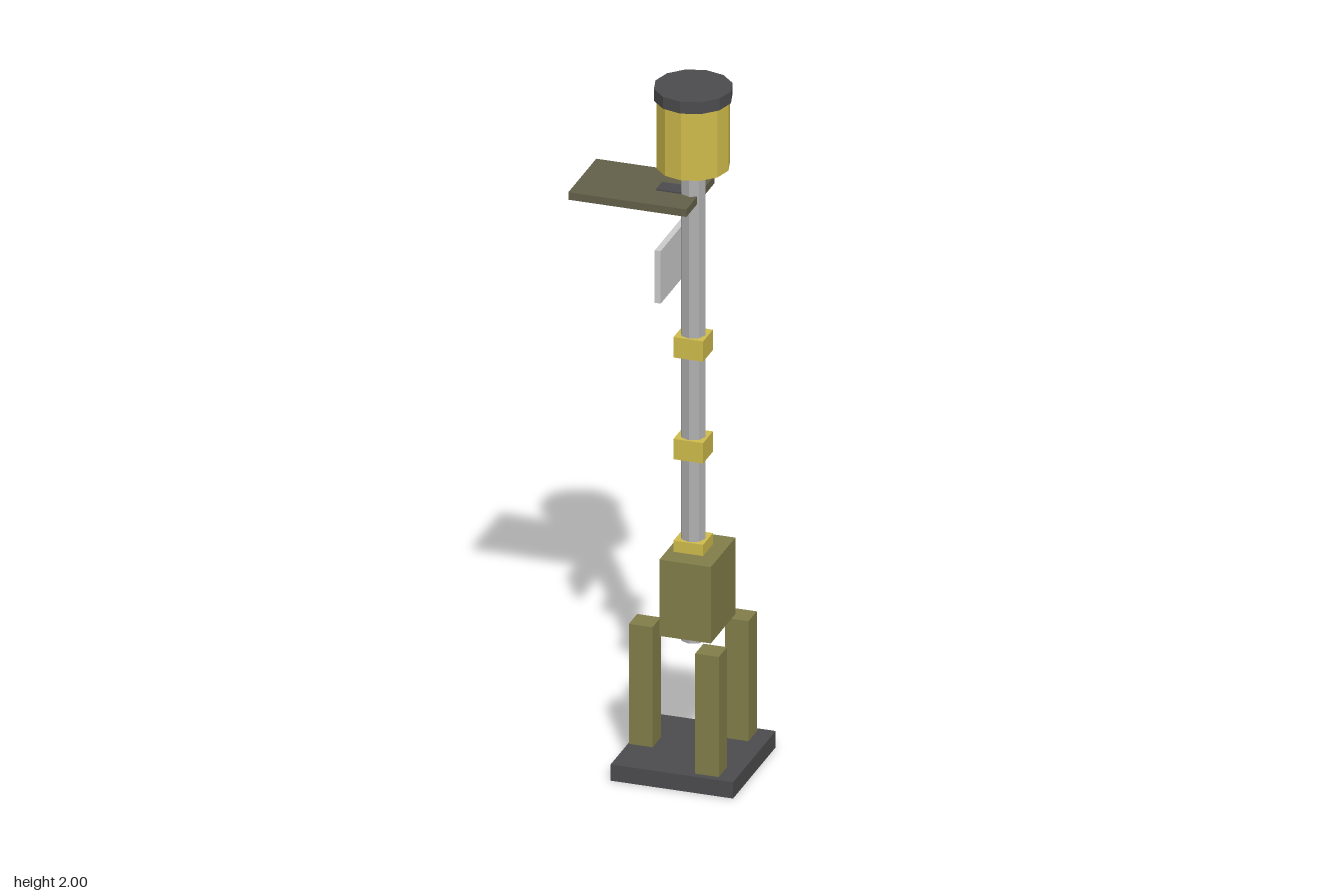
import * as THREE from 'three';

const CX = 0.07; // mast axis

const paint = (color) => new THREE.MeshStandardMaterial({ color, flatShading: true });

export function createModel() {
  const group = new THREE.Group();
  const dark = paint(0x4c4c4e);
  const olive = paint(0x827e49);
  const gold = paint(0xd0bc4c);
  const steel = paint(0xb0b0b0);
  const drab = paint(0x636149);
  const grey = paint(0xcccccc);

  const add = (name, geometry, material, x, y, z = 0) => {
    const mesh = new THREE.Mesh(geometry, material);
    mesh.name = name;
    mesh.position.set(x, y, z);
    group.add(mesh);
  };
  // Box placed by its lower face
  const box = (name, material, w, h, d, x, bottom, z = 0) =>
    add(name, new THREE.BoxGeometry(w, h, d), material, x, bottom + h / 2, z);
  // Faceted drum on the mast axis
  const drum = (name, material, r, bottom, top, sides) =>
    add(name, new THREE.CylinderGeometry(r, r, top - bottom, sides), material, CX, (bottom + top) / 2);

  // Base plate and three legs
  box('basePlate', dark, 0.347, 0.048, 0.347, CX, 0);
  for (const [x, z] of [[-0.067, 0], [0.163, 0.121], [0.163, -0.121]]) {
    box('leg', olive, 0.067, 0.354, 0.067, x, 0.048, z);
  }

  // Equipment housing and mast with collars
  box('housing', olive, 0.146, 0.225, 0.2, 0.082, 0.412);
  drum('mast', steel, 0.035, 0.37, 1.78, 8);
  for (const y of [0.61, 0.91, 1.21]) box('collar', gold, 0.084, 0.06, 0.08, CX, y);

  // Side panel with its bracket, and the upright plate below it
  box('sidePanel', drab, 0.335, 0.022, 0.227, -0.077, 1.666);
  box('panelBracket', dark, 0.07, 0.03, 0.05, 0.008, 1.662);
  box('uprightPlate', grey, 0.017, 0.155, 0.227, 0.009, 1.399);

  // Head drum and cap
  drum('head', gold, 0.1, 1.765, 1.965, 12);
  drum('headCap', dark, 0.107, 1.965, 2, 12);

  return group;
}
